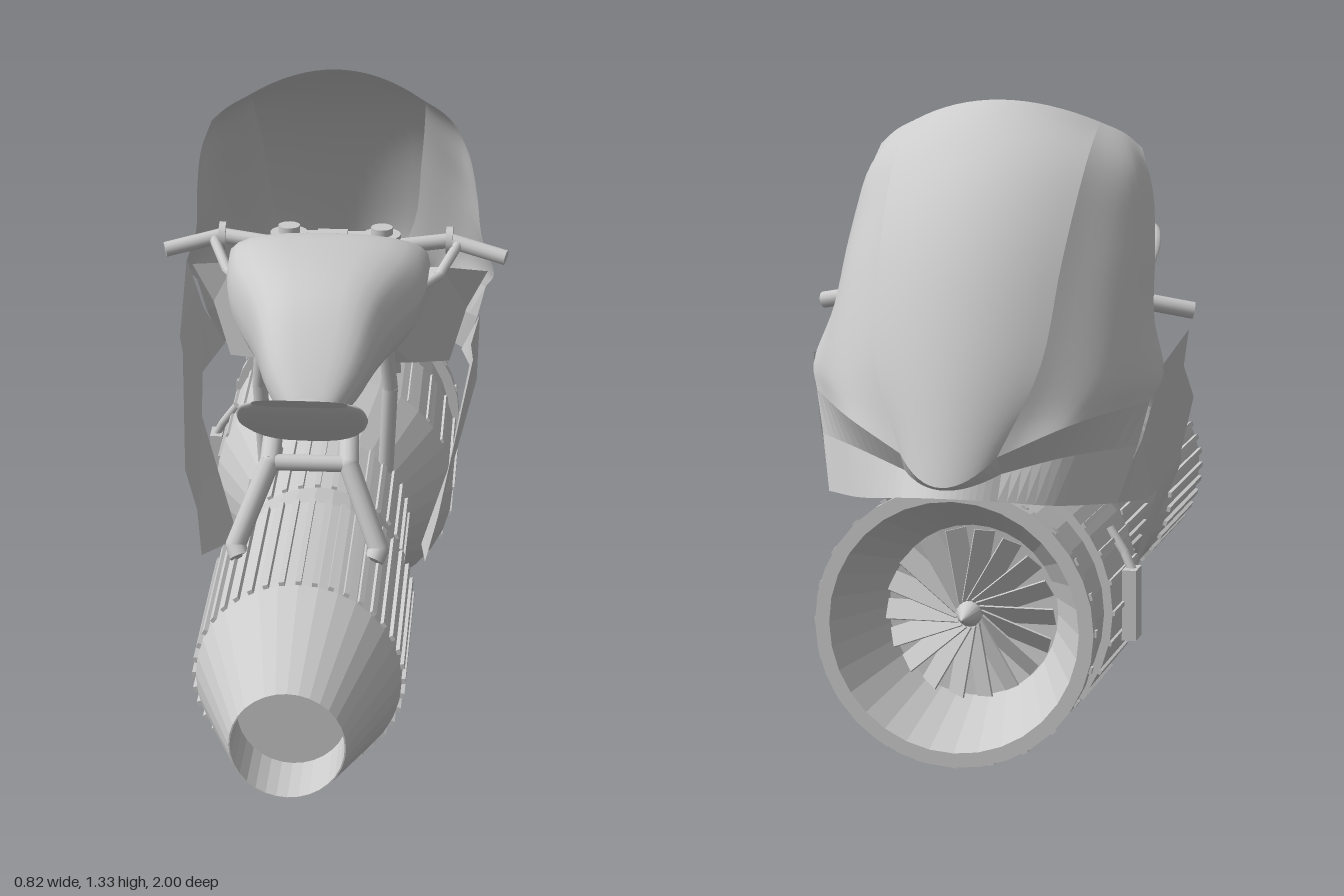
import * as THREE from 'three';

const V = (x, y, z) => new THREE.Vector3(x, y, z);
const smooth = new THREE.MeshStandardMaterial({ color: 0xcccccc, side: THREE.DoubleSide });
const faceted = new THREE.MeshStandardMaterial({ color: 0xcccccc, side: THREE.DoubleSide, flatShading: true });

// Engine axis drops towards the intake
const axisY = z => 0.30 + 0.06 * THREE.MathUtils.clamp((z + 0.43) / 0.29, 0, 1);

// Skin over a grid of points, rows x columns
function skin(rows) {
  const n = rows[0].length, index = [];
  for (let i = 0; i < rows.length - 1; i++) {
    for (let j = 0; j < n - 1; j++) {
      const a = i * n + j, b = a + n;
      index.push(a, a + 1, b, b, a + 1, b + 1);
    }
  }
  const g = new THREE.BufferGeometry().setFromPoints(rows.flat());
  g.setIndex(index);
  g.computeVertexNormals();
  return g;
}

// Refine a coarse grid with splines, along the rows and then down the columns
const spline = (pts, n) => new THREE.CatmullRomCurve3(pts, false, 'centripetal').getPoints(n);
function refineColumns(rows, n) {
  const cols = rows[0].map((_, j) => spline(rows.map(r => r[j]), n));
  return cols[0].map((_, i) => cols.map(c => c[i]));
}
const refine = (rows, n, m) => refineColumns(rows.map(r => spline(r, m)), n);

// Oval body along z from sections [z, halfWidth, bottom, top]
function body(sections, power) {
  const f = v => Math.sign(v) * Math.pow(Math.abs(v), power);
  return skin(refineColumns(sections.map(([z, w, lo, hi]) => Array.from({ length: 25 }, (_, k) => {
    const t = k / 24 * Math.PI * 2;
    return V(w * f(Math.cos(t)), (lo + hi) / 2 + (hi - lo) / 2 * f(Math.sin(t)), z);
  })), 28));
}

export function createModel() {
  const model = new THREE.Group();
  const add = (name, geo, mat = smooth, parent = model) => {
    const m = new THREE.Mesh(geo, mat);
    m.name = name;
    parent.add(m);
    return m;
  };
  const rod = (name, pts, r) => {
    pts.slice(0, -1).forEach((p, i) => {
      const d = pts[i + 1].clone().sub(p);
      const c = add(name, new THREE.CylinderGeometry(r, r, d.length(), 12));
      c.position.copy(p).addScaledVector(d, 0.5);
      c.quaternion.setFromUnitVectors(V(0, 1, 0), d.normalize());
      if (i) add(name + 'Joint', new THREE.SphereGeometry(r, 12, 8)).position.copy(p);
    });
  };

  // Engine shell, from nozzle disc round to the intake throat
  const profile = [[0, 0.86], [0.115, 0.86], [0.117, 1], [0.12, 1], [0.218, 0.7], [0.218, 0.28], [0.19, 0.14],
    [0.19, -0.14], [0.288, -0.43], [0.288, -0.71], [0.27, -0.71], [0.265, -0.88], [0.29, -0.88],
    [0.29, -0.91], [0.26, -0.91], [0.18, -0.74], [0, -0.72]];
  const shell = new THREE.LatheGeometry(profile.map(([r, z]) => new THREE.Vector2(r, z)), 32);
  shell.rotateX(Math.PI / 2);
  const p = shell.attributes.position;
  for (let i = 0; i < p.count; i++) p.setY(i, p.getY(i) + axisY(p.getZ(i)));
  add('engineShell', shell, faceted);

  // Cooling ribs and lip bolts
  const around = (name, n, r, z, geo) => {
    const ring = new THREE.Group();
    ring.name = name + 's';
    ring.position.set(0, axisY(z), z);
    for (let i = 0; i < n; i++) {
      const a = i / n * Math.PI * 2, m = add(name, geo, faceted, ring);
      m.position.set(r * Math.cos(a), r * Math.sin(a), 0);
      m.rotation.z = a;
    }
    model.add(ring);
  };
  around('rearRib', 40, 0.218, 0.49, new THREE.BoxGeometry(0.016, 0.012, 0.42));
  around('middleRib', 32, 0.19, 0, new THREE.BoxGeometry(0.014, 0.012, 0.28));
  around('frontRib', 28, 0.286, -0.57, new THREE.BoxGeometry(0.014, 0.01, 0.28));
  around('lipBolt', 24, 0.288, -0.892, new THREE.BoxGeometry(0.012, 0.014, 0.014));

  // Intake fan
  const blade = new THREE.BoxGeometry(0.155, 0.045, 0.004);
  blade.rotateX(0.6);
  around('fanBlade', 18, 0.1, -0.765, blade);
  const spinner = add('fanSpinner', new THREE.ConeGeometry(0.035, 0.09, 16));
  spinner.rotation.x = -Math.PI / 2;
  spinner.position.set(0, 0.3, -0.8);

  // Control box on one flank of the engine
  add('controlBox', new THREE.BoxGeometry(0.03, 0.15, 0.06)).position.set(-0.302, 0.295, -0.58);
  rod('controlPipe', [V(-0.305, 0.36, -0.58), V(-0.285, 0.4, -0.57), V(-0.25, 0.45, -0.56)], 0.01);

  // Tank running back into the saddle
  add('tank', body([[0.36, 0.02, 0.78, 0.8], [0.32, 0.06, 0.775, 0.855], [0.25, 0.105, 0.785, 0.93], [0.16, 0.135, 0.79, 1.0],
    [0.08, 0.16, 0.79, 1.028], [0, 0.19, 0.79, 1.04], [-0.1, 0.222, 0.8, 1.042], [-0.2, 0.232, 0.86, 1.035],
    [-0.29, 0.225, 0.895, 0.995], [-0.35, 0.15, 0.91, 0.95], [-0.378, 0.1, 0.915, 0.93], [-0.38, 0, 0.92, 0.925]], 0.72));
  const cap = add('tankCap', new THREE.CylinderGeometry(0.045, 0.05, 0.03, 24));
  cap.position.set(0, 0.968, -0.325);
  cap.rotation.x = -0.5;

  // Upswept seat tail
  add('seatTail', body([[0.31, 0.02, 0.79, 0.84], [0.36, 0.06, 0.77, 0.855], [0.42, 0.105, 0.785, 0.86], [0.5, 0.125, 0.83, 0.88],
    [0.58, 0.137, 0.885, 0.925], [0.64, 0.125, 0.94, 0.965], [0.655, 0.1, 0.96, 0.975]], 0.7));

  // Front fairing in half rows from the centre outwards, brow first and top edge last
  const brow = [[0, 0.605, -1], [0.1, 0.66, -0.94], [0.23, 0.715, -0.86], [0.355, 0.74, -0.665]];
  const upper = [
    brow,
    [[0, 0.86, -0.905], [0.17, 0.83, -0.865], [0.28, 0.8, -0.78], [0.375, 0.79, -0.62]],
    [[0, 1.05, -0.81], [0.19, 1.02, -0.765], [0.29, 0.97, -0.67], [0.345, 0.9, -0.57]],
    [[0, 1.18, -0.71], [0.2, 1.14, -0.67], [0.29, 1.08, -0.58], [0.333, 1.03, -0.5]],
    [[0, 1.27, -0.6], [0.205, 1.235, -0.56], [0.285, 1.19, -0.49], [0.315, 1.15, -0.435]],
    [[0, 1.338, -0.485], [0.2, 1.29, -0.425], [0.25, 1.265, -0.405], [0.285, 1.235, -0.4]],
  ];
  // Recessed lamp band under the brow, ending in the chin lip
  const lower = [
    brow,
    [[0, 0.595, -0.975], [0.1, 0.62, -0.905], [0.21, 0.645, -0.835], [0.335, 0.65, -0.69]],
    [[0, 0.58, -0.985], [0.1, 0.57, -0.94], [0.2, 0.553, -0.87], [0.305, 0.54, -0.75]],
  ];
  // Centre strip domes across x; cheeks meet it at a crease
  const strip = rows => rows.map(([[, y, z], [ex, ey, ez]]) => Array.from({ length: 17 }, (_, k) => {
    const t = k / 8 - 1, bow = t * t;
    return V(ex * t, y + (ey - y) * bow, z + (ez - z) * bow);
  }));
  const cheek = (rows, s) => rows.map(r => r.slice(1).map(([x, y, z]) => V(s * x, y, z)));
  add('windscreen', skin(refineColumns(strip(upper), 24)));
  add('chin', skin(strip(lower)), faceted);

  // Side fairings: flat outlines in z, y curving in towards the bottom and the rear
  const outline = [[-0.62, 0.81], [-0.1, 0.81], [-0.18, 0.74], [0.2, 0.61], [0.15, 0.49], [0.28, 0.44],
    [-0.26, 0.23], [-0.37, 0.5], [-0.6, 0.52], [-0.75, 0.54], [-0.68, 0.66]];
  const shape = new THREE.Shape(outline.map(([z, y]) => new THREE.Vector2(z, y)));
  for (const s of [-1, 1]) {
    add('windscreenCheek', skin(refine(cheek(upper, s), 24, 12)));
    add('lampBand', skin(cheek(lower, s).map(r => spline(r, 12))), faceted);

    const g = new THREE.ShapeGeometry(shape), q = g.attributes.position;
    for (let i = 0; i < q.count; i++) {
      const z = q.getX(i), y = q.getY(i), d = Math.max(0, 0.79 - y);
      const x = 0.375 - 0.04 * d - 0.33 * d * d - 0.08 * (z + 0.62) - 0.45 * Math.max(0, -0.62 - z);
      q.setXYZ(i, s * x, y, z);
    }
    g.computeVertexNormals();
    add('sideFairing', g);

    // Inner cowl panels
    add('innerCowl', skin([
      [V(s * 0.36, 0.8, -0.61), V(s * 0.25, 0.83, -0.55), V(s * 0.15, 0.78, -0.45)],
      [V(s * 0.31, 0.7, -0.62), V(s * 0.2, 0.7, -0.54), V(s * 0.11, 0.68, -0.47)],
      [V(s * 0.27, 0.56, -0.62), V(s * 0.18, 0.58, -0.55), V(s * 0.1, 0.6, -0.5)],
    ]), faceted);

    // Frame struts
    rod('rearStrut', [V(s * 0.08, 0.8, 0.28), V(s * 0.085, 0.72, 0.39), V(s * 0.155, 0.55, 0.455), V(s * 0.145, 0.53, 0.47)], 0.022);
    rod('middleStrut', [V(s * 0.14, 0.82, -0.07), V(s * 0.15, 0.7, -0.1), V(s * 0.14, 0.48, -0.13)], 0.018);
    rod('fork', [V(s * 0.11, 0.94, -0.45), V(s * 0.12, 0.78, -0.51), V(s * 0.13, 0.54, -0.58)], 0.024);

    // Handlebar, collar, control arm and clamp lobe
    rod('handlebar', [V(s * 0.11, 0.915, -0.44), V(s * 0.27, 0.925, -0.475), V(s * 0.405, 0.898, -0.44)], 0.018);
    rod('controlArm', [V(s * 0.19, 0.86, -0.29), V(s * 0.25, 0.875, -0.37), V(s * 0.29, 0.92, -0.46)], 0.012);
    const collar = add('gripCollar', new THREE.CylinderGeometry(0.033, 0.033, 0.016, 16));
    collar.position.set(s * 0.27, 0.925, -0.475);
    collar.rotation.z = Math.PI / 2;
    add('clampLobe', new THREE.CylinderGeometry(0.045, 0.045, 0.04, 20)).position.set(s * 0.11, 0.925, -0.455);
    add('clampKnob', new THREE.CylinderGeometry(0.026, 0.026, 0.02, 16)).position.set(s * 0.11, 0.952, -0.455);
  }
  rod('rearCrossBar', [V(-0.085, 0.72, 0.39), V(0.085, 0.72, 0.39)], 0.018);

  // Clamp joining forks, its stem to the tank, and the switch block behind it
  add('forkClamp', new THREE.BoxGeometry(0.22, 0.03, 0.07)).position.set(0, 0.925, -0.45);
  add('clampStem', new THREE.BoxGeometry(0.1, 0.04, 0.14)).position.set(0, 0.92, -0.38);
  add('switchBlock', new THREE.BoxGeometry(0.07, 0.07, 0.04)).position.set(0, 0.95, -0.35);
  return model;
}
